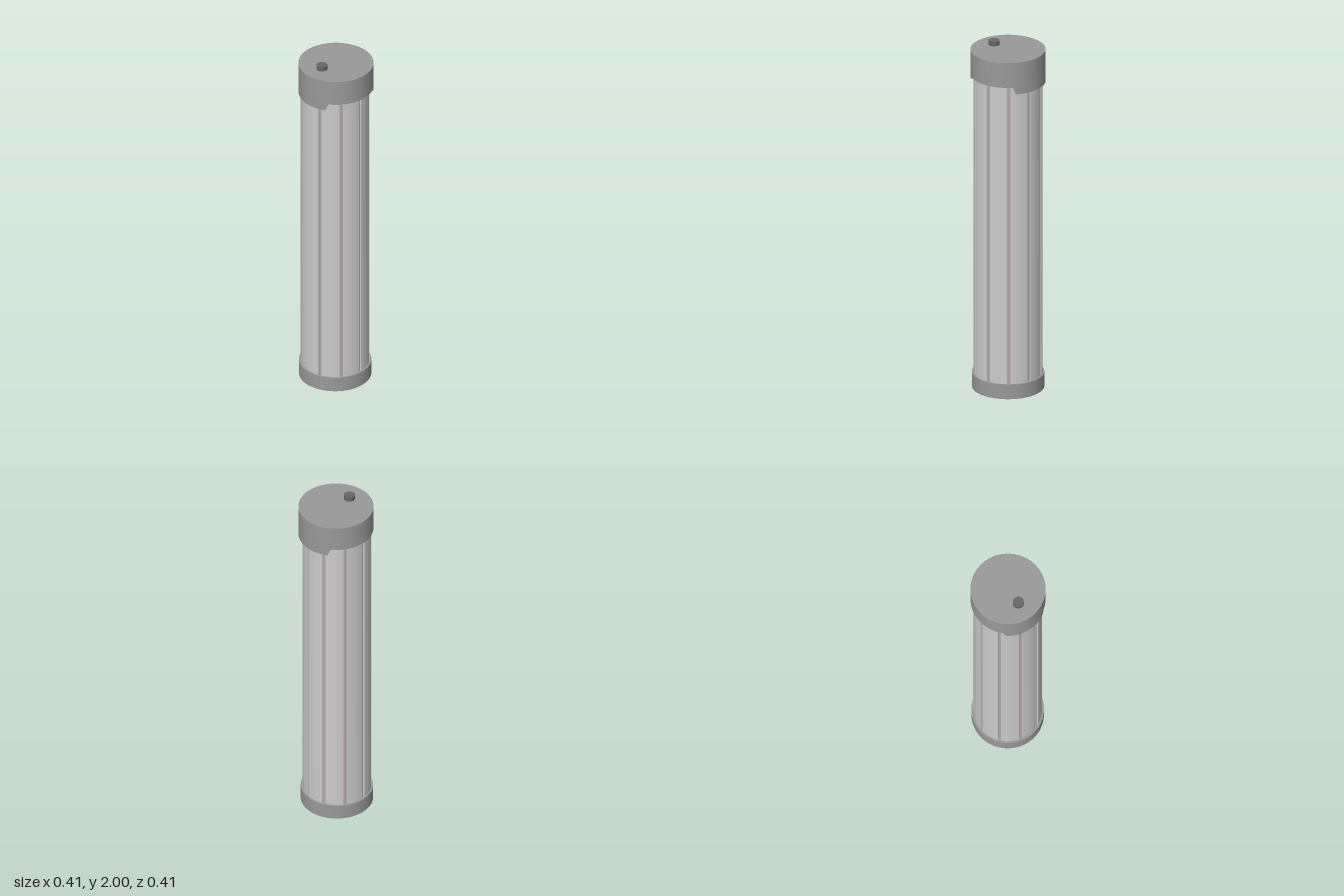
import * as THREE from 'three';
import { toCreasedNormals } from 'three/addons/utils/BufferGeometryUtils.js';

const rad = THREE.MathUtils.degToRad;
const CREASE = rad(20);

function addPart(group, name, geometry, color, x = 0, y = 0, z = 0) {
  const mesh = new THREE.Mesh(geometry, new THREE.MeshStandardMaterial({ color }));
  mesh.name = name;
  mesh.position.set(x, y, z);
  group.add(mesh);
  return mesh;
}

// Tube cross-section: ten curved panels with a narrow groove between each pair.
function groovedTube(radius, grooveRadius, height) {
  const count = 10, step = 360 / count, halfGroove = 2.8;
  const shape = new THREE.Shape();
  for (let i = 0; i < count; i++) {
    const groove = -10 - 90 + i * step;
    const start = rad(groove + halfGroove), end = rad(groove + step - halfGroove);
    shape.absarc(0, 0, grooveRadius, rad(groove - halfGroove), start, false);
    shape.absarc(0, 0, radius, start, end, false);
  }
  const geometry = new THREE.ExtrudeGeometry(shape, { depth: height, bevelEnabled: false, curveSegments: 10 });
  geometry.rotateX(-Math.PI / 2);
  return toCreasedNormals(geometry, CREASE);
}

// Cap whose rim drops into a skirt with slanted ends at the front and the back.
function skirtedCap(radius, innerRadius, rimY, topY, drop) {
  const profile = [[innerRadius, rimY], [radius, rimY], [radius, topY], [0, topY]]
    .map(([r, y]) => new THREE.Vector2(r, y));
  const geometry = new THREE.LatheGeometry(profile, 72);
  const pos = geometry.attributes.position;
  for (let i = 0; i < pos.count; i++) {
    if (pos.getY(i) > rimY + 0.001) continue;
    const angle = THREE.MathUtils.radToDeg(Math.atan2(Math.abs(pos.getX(i)), Math.abs(pos.getZ(i))));
    pos.setY(i, rimY - drop * THREE.MathUtils.clamp((40 - angle) / 5, 0, 1));
  }
  return toCreasedNormals(geometry, CREASE);
}

export function createModel() {
  const group = new THREE.Group();
  group.name = 'canister';
  const cx = -0.004, cz = 0.003; // tube axis, slightly off the cap axis

  addPart(group, 'base', new THREE.CylinderGeometry(0.197, 0.197, 0.085, 72), 0x999999, cx, 0.0425, cz);
  addPart(group, 'tubePanels', groovedTube(0.187, 0.177, 1.82), 0xcccccc, cx, 0.06, cz);

  // Tinted core showing at the bottom of the grooves
  addPart(group, 'tubeCore', new THREE.CylinderGeometry(0.179, 0.179, 1.8, 72, 1, true), 0xb4a6a6, cx, 0.96, cz);

  addPart(group, 'cap', skirtedCap(0.204, 0.178, 1.83, 1.975, 0.04), 0x999999);
  addPart(group, 'button', new THREE.CylinderGeometry(0.03, 0.03, 0.035, 32), 0x666666, 0.003, 1.9825, 0.1);
  return group;
}
